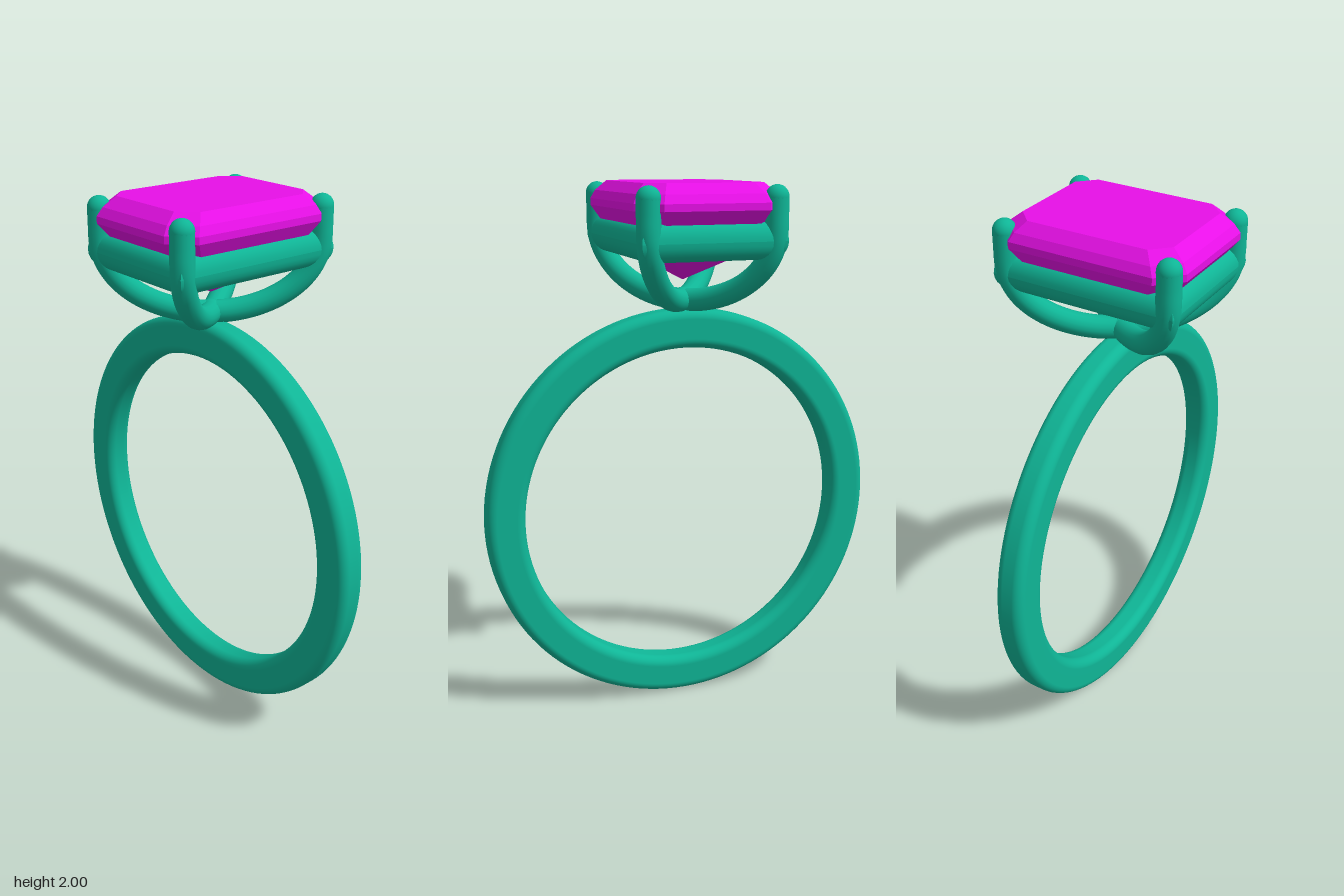
import * as THREE from 'three';

const metal = new THREE.MeshStandardMaterial({ color: 0x0fb596 });
const stone = new THREE.MeshStandardMaterial({ color: 0xe810e8, flatShading: true });

function add(parent, name, geometry, material = metal) {
  const mesh = new THREE.Mesh(geometry, material);
  mesh.name = name;
  parent.add(mesh);
  return mesh;
}

// Band: rounded rectangle revolved round the finger axis
function bandGeometry(inner, outer, half, r) {
  const s = new THREE.Shape();
  s.moveTo(inner + r, -half);
  s.lineTo(outer - r, -half);
  s.absarc(outer - r, -half + r, r, -Math.PI / 2, 0);
  s.absarc(outer - r, half - r, r, 0, Math.PI / 2);
  s.absarc(inner + r, half - r, r, Math.PI / 2, Math.PI);
  s.absarc(inner + r, -half + r, r, Math.PI, Math.PI * 1.5);
  return new THREE.LatheGeometry(s.getPoints(8), 128).rotateX(Math.PI / 2);
}

// Rail bar along x with an oval section and mitred ends
function railGeometry(halfLength, rOut, rUp) {
  const g = new THREE.CylinderGeometry(1, 1, 2, 24, 1, true).rotateZ(Math.PI / 2);
  const p = g.attributes.position;
  for (let i = 0; i < p.count; i++) {
    const out = p.getZ(i) * rOut;
    p.setXYZ(i, Math.sign(p.getX(i)) * (halfLength + out), p.getY(i) * rUp, out);
  }
  g.computeVertexNormals();
  return g;
}

// Cut stone: stacked rectangles with clipped corners, [y, half x, half z, clip]
function gemGeometry(levels) {
  const pos = [], index = [];
  for (const [y, x, z, c] of levels) {
    const ring = [[x, z - c], [x - c, z], [c - x, z], [-x, z - c],
      [-x, c - z], [c - x, -z], [x - c, -z], [x, c - z]];
    for (const [px, pz] of ring) pos.push(px, y, pz);
  }
  for (let l = 0; l < levels.length - 1; l++) {
    for (let i = 0; i < 8; i++) {
      const a = l * 8 + i, b = l * 8 + (i + 1) % 8;
      index.push(a, a + 8, b, b, a + 8, b + 8);
    }
  }
  for (let i = 1; i < 7; i++) index.push(0, i + 1, i); // table
  const g = new THREE.BufferGeometry();
  g.setAttribute('position', new THREE.Float32BufferAttribute(pos, 3));
  // Order every triangle to face away from the middle of the stone
  const mid = new THREE.Vector3(0, 1.88, 0);
  const v = (k) => new THREE.Vector3().fromArray(pos, k * 3);
  for (let i = 0; i < index.length; i += 3) {
    const [a, b, c] = [v(index[i]), v(index[i + 1]), v(index[i + 2])];
    const n = b.clone().sub(a).cross(c.clone().sub(a));
    if (n.dot(a.sub(mid)) < 0) [index[i + 1], index[i + 2]] = [index[i + 2], index[i + 1]];
  }
  g.setIndex(index);
  const flat = g.toNonIndexed();
  flat.computeVertexNormals();
  return flat;
}

export function createModel() {
  const model = new THREE.Group();
  model.name = 'ring';

  add(model, 'band', bandGeometry(0.625, 0.77, 0.055, 0.035)).position.y = 0.773;

  // Prongs: quarter-oval claws rising from the top of the band
  const px = 0.232, pz = 0.31, r = 0.042;
  const prongs = new THREE.Group();
  prongs.name = 'prongs';
  model.add(prongs);
  for (const sx of [1, -1]) {
    for (const sz of [1, -1]) {
      const points = [];
      for (let i = 0; i <= 10; i++) {
        const a = (i / 10) * Math.PI / 2;
        points.push(new THREE.Vector3(sx * px * Math.sin(a), 1.84 - 0.265 * Math.cos(a), sz * pz * Math.sin(a)));
      }
      points.push(new THREE.Vector3(sx * px, 1.9, sz * pz), new THREE.Vector3(sx * px, 1.953, sz * pz));
      add(prongs, 'prong', new THREE.TubeGeometry(new THREE.CatmullRomCurve3(points), 48, r, 16));
      add(prongs, 'prongTip', new THREE.SphereGeometry(r, 20, 14)).position.set(sx * px, 1.953, sz * pz);
    }
  }
  add(prongs, 'prongJoint', new THREE.SphereGeometry(0.046, 20, 14)).position.y = 1.575;

  // Rail: mitred rectangular frame below the stone
  const rail = new THREE.Group();
  rail.name = 'rail';
  rail.position.y = 1.805;
  model.add(rail);
  const rx = 0.215, rz = 0.293;
  for (let i = 0; i < 4; i++) {
    const long = i % 2 === 1;
    const bar = add(rail, 'railBar', railGeometry(long ? rz : rx, 0.05, 0.065));
    const angle = i * Math.PI / 2, d = long ? rx : rz;
    bar.rotation.y = angle;
    bar.position.set(Math.sin(angle) * d, 0, Math.cos(angle) * d);
  }

  // Stone: table, stepped crown, girdle and pavilion
  add(model, 'gem', gemGeometry([
    [2.0, 0.22, 0.285, 0.06],
    [1.965, 0.255, 0.33, 0.075],
    [1.935, 0.27, 0.35, 0.08],
    [1.91, 0.27, 0.35, 0.08],
    [1.86, 0.24, 0.31, 0.07],
    [1.745, 0.16, 0.21, 0.05],
    [1.65, 0.002, 0.004, 0.001],
  ]), stone);

  return model;
}
